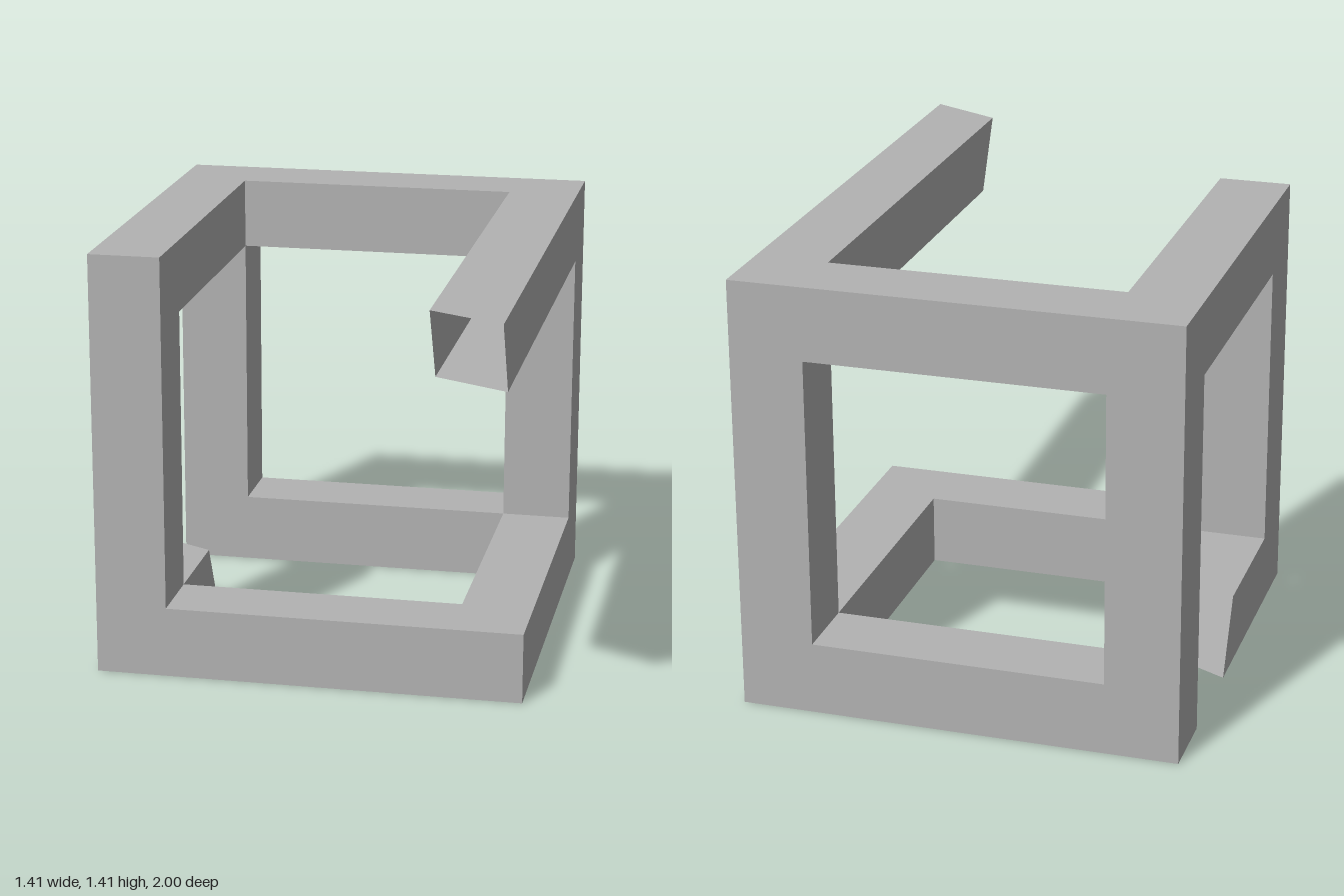
import * as THREE from 'three';

// Grid lines that bound the square beams (thickness 0.235)
const X = [-0.705, -0.47, 0.47, 0.705];
const Y = [0, 0.235, 1.175, 1.41];
const Z = [-1, -0.765, 0.175, 0.41];

// Cells of the frame as [column, level, depth]
const CELLS = {
  cornerBottomBackRight: [0, 0, 0],
  cornerBottomBackLeft: [2, 0, 0],
  cornerBottomFrontRight: [0, 0, 2],
  cornerBottomFrontLeft: [2, 0, 2],
  cornerTopBackRight: [0, 2, 0],
  cornerTopBackLeft: [2, 2, 0],
  cornerTopFrontRight: [0, 2, 2],
  bottomBackBeam: [1, 0, 0],
  bottomFrontBeam: [1, 0, 2],
  bottomLeftBeam: [2, 0, 1],
  topBackBeam: [1, 2, 0],
  topRightBeam: [0, 2, 1],
  backRightPost: [0, 1, 0],
  backLeftPost: [2, 1, 0],
  frontRightPost: [0, 1, 2],
  shortCutBeam: [0, 0, 1],
  longCutBeam: [2, 2, 1],
};

// Face order of BoxGeometry
const SIDES = [[1, 0, 0], [-1, 0, 0], [0, 1, 0], [0, -1, 0], [0, 0, 1], [0, 0, -1]];

// Slanted plane shared by the two open beam ends
const cutZ = (x, y) => 1 - 0.5 * (0.705 - x) - 0.5 * (1.41 - y);

// Box spanning one cell, keeping only the listed faces
function cellGeometry([i, j, k], keep) {
  const geo = new THREE.BoxGeometry(X[i + 1] - X[i], Y[j + 1] - Y[j], Z[k + 1] - Z[k]);
  geo.translate((X[i] + X[i + 1]) / 2, (Y[j] + Y[j + 1]) / 2, (Z[k] + Z[k + 1]) / 2);
  const index = Array.from(geo.index.array);
  geo.setIndex(keep.flatMap((f) => index.slice(f * 6, f * 6 + 6)));
  geo.clearGroups();
  return geo;
}

// Move one end of a beam onto the slanted plane
function cutEnd(geo, endZ) {
  const p = geo.attributes.position;
  for (let v = 0; v < p.count; v++) {
    if (Math.abs(p.getZ(v) - endZ) < 0.001) p.setZ(v, cutZ(p.getX(v), p.getY(v)));
  }
}

export function createModel() {
  const group = new THREE.Group();
  group.name = 'impossibleCube';
  const grey = new THREE.MeshStandardMaterial({ color: 0xb2b2b2, side: THREE.DoubleSide });
  grey.name = 'grey';

  const filled = new Set(Object.values(CELLS).map(String));
  for (const [name, cell] of Object.entries(CELLS)) {
    // Leave out faces where a neighbouring cell joins on
    const keep = [0, 1, 2, 3, 4, 5].filter((f) => {
      if (name === 'longCutBeam' && f === 4) return false;
      if (name === 'cornerBottomBackRight' && f === 4) return true;
      return !filled.has(String(cell.map((c, a) => c + SIDES[f][a])));
    });
    const geo = cellGeometry(cell, keep);
    if (name === 'longCutBeam') cutEnd(geo, Z[2]);
    if (name === 'shortCutBeam') cutEnd(geo, Z[1]);
    const mesh = new THREE.Mesh(geo, grey);
    mesh.name = name;
    group.add(mesh);
  }
  return group;
}
